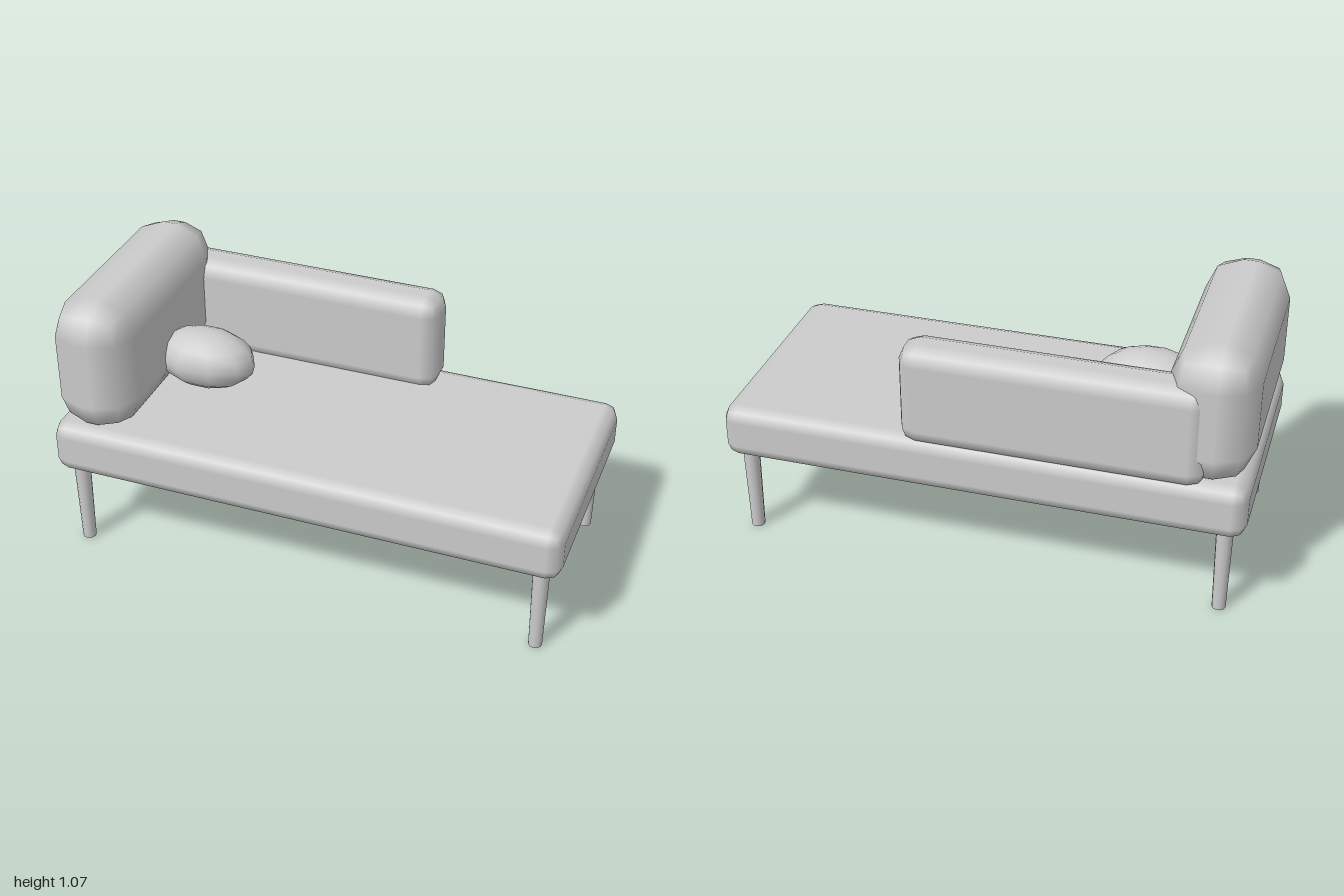
import * as THREE from 'three';
import { RoundedBoxGeometry } from 'three/addons/geometries/RoundedBoxGeometry.js';

export function createModel() {
  const daybed = new THREE.Group();
  daybed.name = 'daybed';
  const grey = new THREE.MeshStandardMaterial({ color: 0xcccccc });
  grey.name = 'plain grey';

  const add = (name, geometry, x, y, z) => {
    const mesh = new THREE.Mesh(geometry, grey);
    mesh.name = name;
    mesh.position.set(x, y, z);
    daybed.add(mesh);
    return mesh;
  };

  // Soft block given by its minimum and maximum corners and its edge radius
  const block = (name, [x0, y0, z0], [x1, y1, z1], radius) =>
    add(name, new RoundedBoxGeometry(x1 - x0, y1 - y0, z1 - z0, 1, radius),
      (x0 + x1) / 2, (y0 + y1) / 2, (z0 + z1) / 2);

  // Upholstery; the rests sink slightly into the seat
  block('seat', [-1, 0.35, -0.465], [1, 0.563, 0.465], 0.055);
  block('armrest', [-1, 0.535, -0.455], [-0.68, 1.07, 0.455], 0.135);
  block('backrest', [-0.845, 0.535, -0.465], [0.295, 0.935, -0.28], 0.066);

  // Oval cushion leaning on the armrest
  const cushion = add('cushion', new THREE.SphereGeometry(1, 10, 10), -0.55, 0.695, 0);
  cushion.scale.set(0.205, 0.117, 0.131);

  // Tapered legs
  const legGeometry = new THREE.CylinderGeometry(0.032, 0.026, 0.36, 12);
  for (const x of [-0.92, 0.92]) {
    for (const z of [-0.387, 0.387]) {
      add((z > 0 ? 'front' : 'back') + (x > 0 ? 'Left' : 'Right') + 'Leg', legGeometry, x, 0.18, z);
    }
  }
  return daybed;
}
